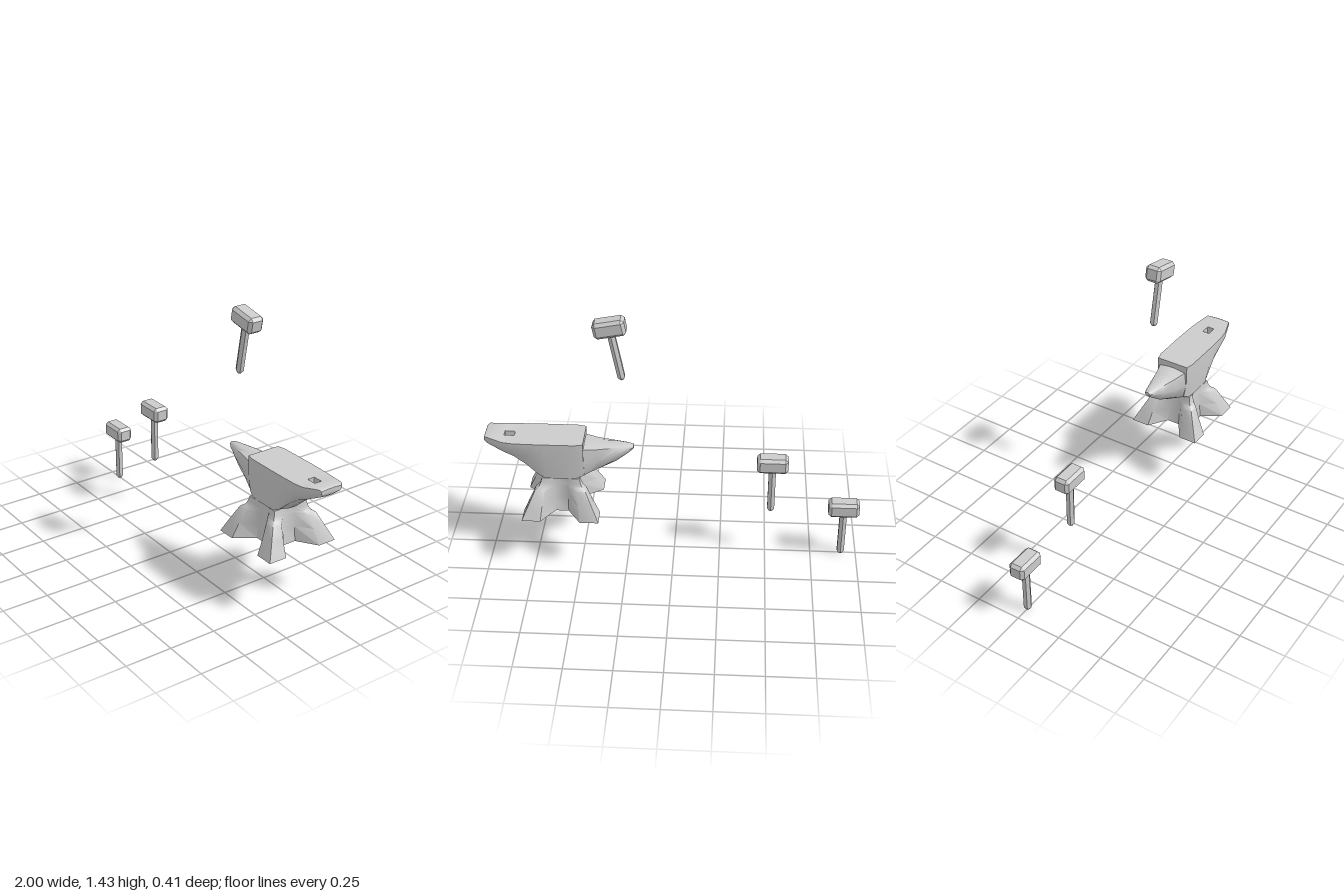
import * as THREE from 'three';
import { toCreasedNormals } from 'three/addons/utils/BufferGeometryUtils.js';
import { ConvexGeometry } from 'three/addons/geometries/ConvexGeometry.js';

const smooth = new THREE.MeshStandardMaterial({ color: 0xcccccc });
const faceted = new THREE.MeshStandardMaterial({ color: 0xcccccc, flatShading: true });

function part(name, geometry, material) {
  const mesh = new THREE.Mesh(geometry, material);
  mesh.name = name;
  return mesh;
}

// Skins closed rings of points and caps both ends; hole = index of a span pierced from top to bottom
function loft(rings, crease, hole = -1) {
  const pos = [];
  const tri = (...pts) => pts.forEach((p) => pos.push(p.x, p.y, p.z));
  const quad = (a, b, c, d) => { tri(a, b, d); tri(b, c, d); };
  const n = rings[0].length;
  for (let i = 0; i < rings.length - 1; i++) {
    for (let j = 0; j < n; j++) {
      if (i === hole && (j === n - 1 || j === n / 2 - 1)) continue;
      const k = (j + 1) % n;
      quad(rings[i][j], rings[i][k], rings[i + 1][k], rings[i + 1][j]);
    }
  }
  const cap = (ring, flip) => {
    const c = new THREE.Vector3();
    ring.forEach((p) => c.addScaledVector(p, 1 / n));
    ring.forEach((p, j) => {
      const q = ring[(j + 1) % n];
      flip ? tri(c, q, p) : tri(c, p, q);
    });
  };
  cap(rings[0], true);
  cap(rings[rings.length - 1], false);
  if (hole >= 0) {
    // four walls of the square hole
    const a = rings[hole], b = rings[hole + 1], m = n / 2, e = n - 1;
    quad(a[0], b[0], b[m - 1], a[m - 1]);
    quad(a[e], a[m], b[m], b[e]);
    quad(a[e], a[0], a[m - 1], a[m]);
    quad(b[0], b[e], b[m], b[m - 1]);
  }
  const g = new THREE.BufferGeometry();
  g.setAttribute('position', new THREE.Float32BufferAttribute(pos, 3));
  return toCreasedNormals(g, crease);
}

// Cross-section of the anvil body at x: round for the horn, square-topped for the face
function bodyRing([x, top, bot, w, topW, drop, lowW, low]) {
  const H = top - bot;
  const h = Math.min(0.02, w * 0.4);
  const half = [
    [h, top], [w * topW, top - drop * H], [w, top - 0.48 * H],
    [w * lowW, top - low * H], [h, bot],
  ];
  return [
    ...half.map(([z, y]) => new THREE.Vector3(x, y, z)),
    ...half.reverse().map(([z, y]) => new THREE.Vector3(x, y, -z)),
  ];
}

// Cross-shaped section of the base: h = half size, w = foot width, v = valley depth
function baseRing([y, h, w, v]) {
  const ring = [];
  let pts = [[0.035, v], [h - w, h], [h, h], [h, h - w], [v, 0.035]];
  for (let q = 0; q < 4; q++) {
    pts.forEach(([x, z]) => ring.push(new THREE.Vector3(0.6 + x, y, z)));
    pts = pts.map(([x, z]) => [z, -x]);
  }
  return ring;
}

function makeAnvil() {
  const anvil = new THREE.Group();
  anvil.name = 'anvil';
  // x, top, bottom, half width, top width, top drop, low width, low height
  const stations = [
    [0.215, 0.675, 0.655, 0.015, 0.7, 0.15, 0.7, 0.85],
    [0.24, 0.68, 0.632, 0.028, 0.75, 0.13, 0.7, 0.85],
    [0.31, 0.684, 0.58, 0.05, 0.78, 0.1, 0.7, 0.85],
    [0.40, 0.686, 0.53, 0.072, 0.82, 0.08, 0.72, 0.87],
    [0.475, 0.69, 0.505, 0.09, 0.88, 0.05, 0.82, 0.92],
    [0.475, 0.722, 0.505, 0.092, 1, 0, 0.85, 0.93],
    [0.52, 0.722, 0.5, 0.102, 1, 0, 0.93, 0.97],
    [0.68, 0.722, 0.5, 0.103, 1, 0, 0.93, 0.97],
    [0.72, 0.722, 0.512, 0.103, 1, 0, 0.85, 0.93],
    [0.78, 0.722, 0.565, 0.102, 1, 0, 0.78, 0.9],
    [0.845, 0.722, 0.618, 0.1, 1, 0, 0.75, 0.9],
    [0.9, 0.724, 0.645, 0.094, 1, 0, 0.76, 0.9],
    [0.985, 0.742, 0.692, 0.07, 1, 0.05, 0.85, 0.9],
    [0.998, 0.735, 0.705, 0.064, 0.95, 0.1, 0.85, 0.9],
  ];
  anvil.add(part('anvilBody', loft(stations.map(bodyRing), 0.85, 10), smooth));

  const levels = [
    [0.3, 0.205, 0.1, 0.1],
    [0.38, 0.168, 0.072, 0.092],
    [0.45, 0.135, 0.052, 0.09],
    [0.465, 0.115, 0.042, 0.088],
    [0.485, 0.106, 0.04, 0.086],
    [0.51, 0.1, 0.04, 0.084],
  ];
  anvil.add(part('anvilBase', loft(levels.map(baseRing), 0.95), smooth));
  return anvil;
}

// Hammer with its handle end at the origin
function makeHammer(x, y, tilt) {
  const hammer = new THREE.Group();
  hammer.name = 'hammer';

  // head: box with every edge bevelled
  const size = [0.083, 0.044, 0.045], c = 0.016, pts = [];
  for (const sx of [-1, 1]) for (const sy of [-1, 1]) for (const sz of [-1, 1]) {
    for (let axis = 0; axis < 3; axis++) {
      const p = size.map((s, i) => (i === axis ? s : s - c));
      pts.push(new THREE.Vector3(p[0] * sx, p[1] * sy, p[2] * sz));
    }
  }
  const head = part('hammerHead', new ConvexGeometry(pts), faceted);
  head.position.y = 0.305;

  const handle = part('hammerHandle', new THREE.CylinderGeometry(0.022, 0.022, 0.255, 6), faceted);
  handle.position.y = 0.1455;
  const tip = part('handleTip', new THREE.CylinderGeometry(0.022, 0.011, 0.018, 6), faceted);
  tip.position.y = 0.009;

  hammer.add(head, handle, tip);
  hammer.position.set(x, y, 0);
  hammer.rotation.z = tilt;
  return hammer;
}

export function createModel() {
  const model = new THREE.Group();
  model.name = 'anvilAndHammers';
  model.add(
    makeAnvil(),
    makeHammer(-0.917, 0, 0),
    makeHammer(-0.522, 0.274, 0),
    makeHammer(0.268, 1.073, -0.19),
  );
  return model;
}
